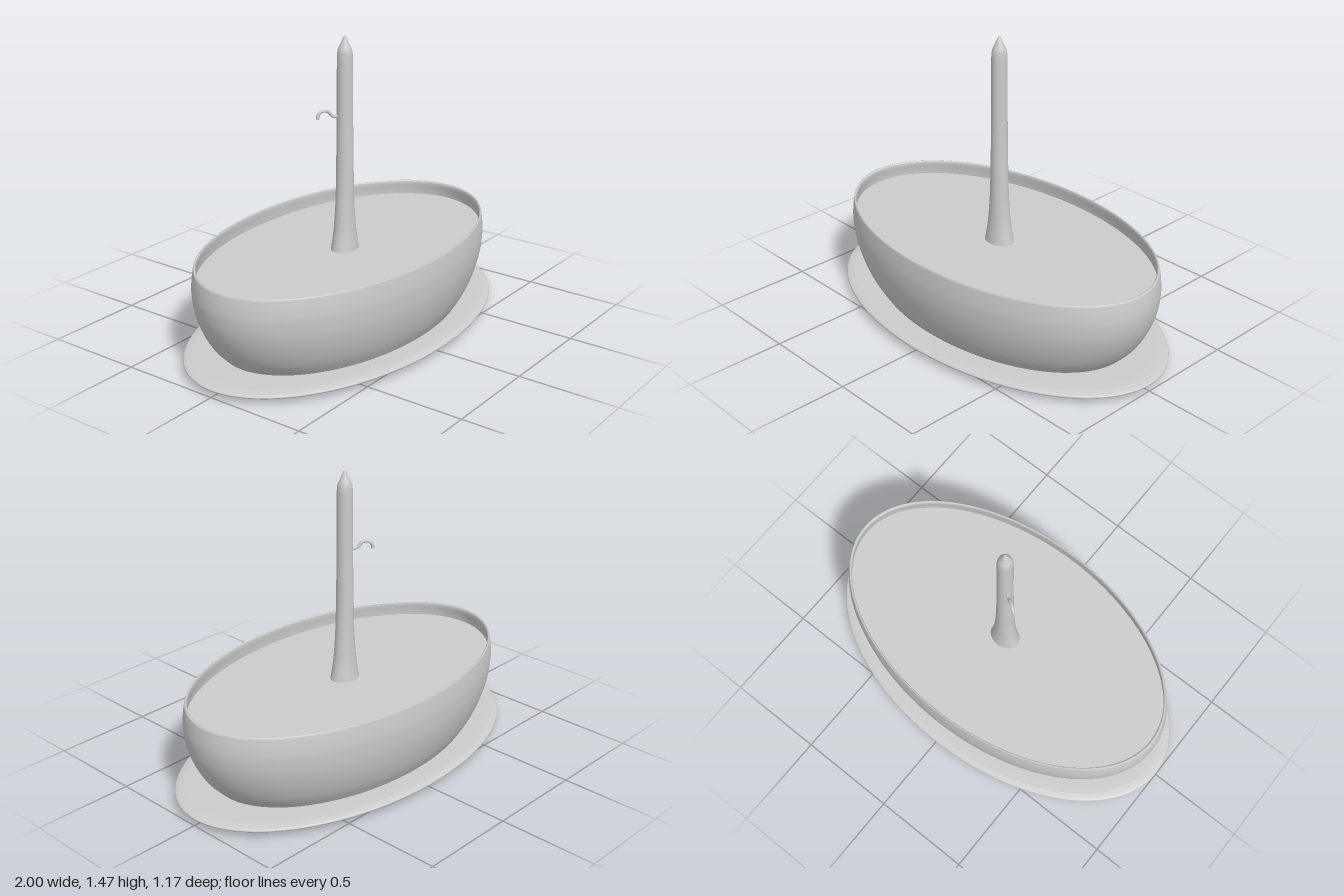
import * as THREE from 'three';

const SQUASH = 0.585; // depth of the oval relative to its width
const material = new THREE.MeshStandardMaterial({ color: 0xcccccc, side: THREE.DoubleSide });

const points = (list) => list.map(([r, y]) => new THREE.Vector2(r, y));
const smooth = (list, n) => new THREE.SplineCurve(points(list)).getPoints(n);

function addMesh(group, name, geometry) {
  const mesh = new THREE.Mesh(geometry, material);
  mesh.name = name;
  group.add(mesh);
  return mesh;
}

// Revolve a profile and squash it into an oval
const ovalLathe = (profile) => new THREE.LatheGeometry(profile, 128).scale(1, 1, SQUASH);

export function createModel() {
  const group = new THREE.Group();
  group.name = 'ovalDishWithPost';

  // Saucer: gently domed underside, thin rounded edge, flat top
  addMesh(group, 'saucer', ovalLathe([
    ...smooth([[0, 0], [0.45, 0.004], [0.8, 0.011], [0.95, 0.018], [0.99, 0.026], [1, 0.035], [0.988, 0.043], [0.95, 0.049]], 40),
    ...points([[0.9, 0.05], [0, 0.05]]),
  ]));

  // Bowl: bulging outer wall, rounded rim, inner wall down to the fill
  addMesh(group, 'bowl', ovalLathe([
    ...smooth([[0.785, 0.05], [0.845, 0.115], [0.893, 0.195], [0.925, 0.28], [0.937, 0.36], [0.934, 0.42], [0.925, 0.47]], 36),
    ...points([[0.922, 0.476], [0.917, 0.477], [0.912, 0.474], [0.909, 0.468]]),
    ...smooth([[0.91, 0.455], [0.916, 0.42], [0.918, 0.385]], 8),
  ]));

  // Level surface inside the bowl
  addMesh(group, 'innerFloor', ovalLathe(points([[0.919, 0.4], [0, 0.4]])));

  // Post: flared foot, straight shaft, pointed tip
  const post = new THREE.LatheGeometry([
    ...smooth([[0.074, 0.4], [0.061, 0.48], [0.053, 0.56], [0.047, 0.66], [0.043, 0.8], [0.04, 1], [0.039, 1.2], [0.038, 1.36]], 40),
    ...smooth([[0.037, 1.375], [0.033, 1.4], [0.018, 1.433], [0.006, 1.46], [0, 1.467]], 14),
  ], 48);
  // The foot is oval and blends into a round shaft
  const pos = post.attributes.position;
  for (let i = 0; i < pos.count; i++) {
    const t = Math.max(0, 1 - (pos.getY(i) - 0.4) / 0.45);
    pos.setX(i, pos.getX(i) * (1 + 0.08 * t));
    pos.setZ(i, pos.getZ(i) * (1 - 0.16 * t));
  }
  post.computeVertexNormals();
  addMesh(group, 'post', post);

  // Small hook leaving the post diagonally, towards the back right
  const hook = new THREE.Group();
  hook.name = 'hook';
  const path = new THREE.CatmullRomCurve3([
    [0.02, 1.078], [0.05, 1.075], [0.067, 1.083], [0.08, 1.099], [0.101, 1.107],
    [0.122, 1.101], [0.134, 1.085], [0.136, 1.068],
  ].map(([x, y]) => new THREE.Vector3(x, y, 0)));
  addMesh(hook, 'hookWire', new THREE.TubeGeometry(path, 40, 0.008, 12));
  const end = addMesh(hook, 'hookEnd', new THREE.CircleGeometry(0.008, 12).rotateX(Math.PI / 2));
  end.position.set(0.136, 1.068, 0);
  hook.rotation.y = Math.PI - 0.61;
  group.add(hook);

  return group;
}
